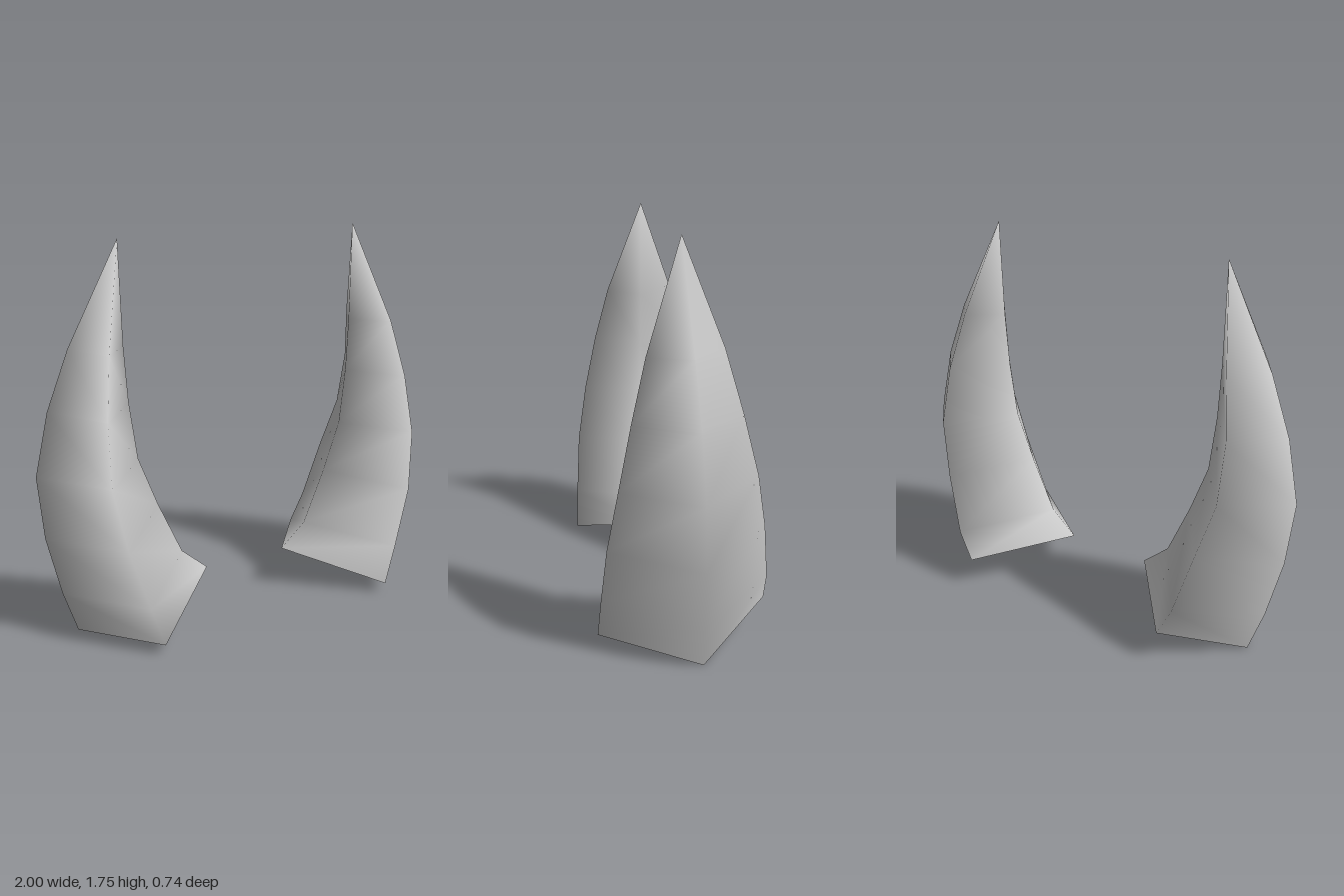
import * as THREE from 'three';

// Four-cornered cross-sections from the open base up: inner, front, outer, back
const rings = [
  [[0.21, 0.20, 0.04], [0.60, 0.05, 0.37], [0.83, 0.00, -0.05], [0.54, 0.145, -0.37]],
  [[0.34, 0.31, 0.04], [0.66, 0.23, 0.36], [0.90, 0.20, -0.04], [0.61, 0.28, -0.365]],
  [[0.455, 0.56, 0.035], [0.745, 0.50, 0.34], [0.97, 0.48, -0.03], [0.69, 0.55, -0.33]],
  [[0.545, 0.79, 0.03], [0.79, 0.77, 0.295], [1.00, 0.77, -0.02], [0.76, 0.80, -0.28]],
  [[0.58, 1.05, 0.025], [0.775, 1.04, 0.24], [0.94, 1.05, -0.01], [0.755, 1.06, -0.215]],
  [[0.595, 1.30, 0.02], [0.73, 1.30, 0.175], [0.84, 1.31, 0.0], [0.705, 1.32, -0.145]],
];
const tip = [0.605, 1.755, 0.015];

function hornGeometry(side) {
  const positions = [...rings.flat(), tip].flatMap(([x, y, z]) => [side * x, y, z]);
  const index = [];
  // Mirrored horns need the opposite corner order
  const face = (a, b, c) => index.push(...(side > 0 ? [a, b, c] : [a, c, b]));
  const tipIndex = rings.length * 4;
  for (let i = 0; i < rings.length; i++) {
    for (let k = 0; k < 4; k++) {
      const a = i * 4 + k;
      const b = i * 4 + (k + 1) % 4;
      if (i === rings.length - 1) {
        face(a, b, tipIndex);
      } else {
        face(a, b, b + 4);
        face(a, b + 4, a + 4);
      }
    }
  }
  const geometry = new THREE.BufferGeometry();
  geometry.setAttribute('position', new THREE.Float32BufferAttribute(positions, 3));
  geometry.setIndex(index);
  geometry.computeVertexNormals();
  return geometry;
}

export function createModel() {
  const group = new THREE.Group();
  group.name = 'horns';
  const hornGrey = new THREE.MeshStandardMaterial({ color: 0xcccccc, side: THREE.DoubleSide });
  hornGrey.name = 'hornGrey';
  // Mirrored pair, hollow and open at the base
  for (const side of [1, -1]) {
    const horn = new THREE.Mesh(hornGeometry(side), hornGrey);
    horn.name = side > 0 ? 'leftHorn' : 'rightHorn';
    group.add(horn);
  }
  return group;
}
